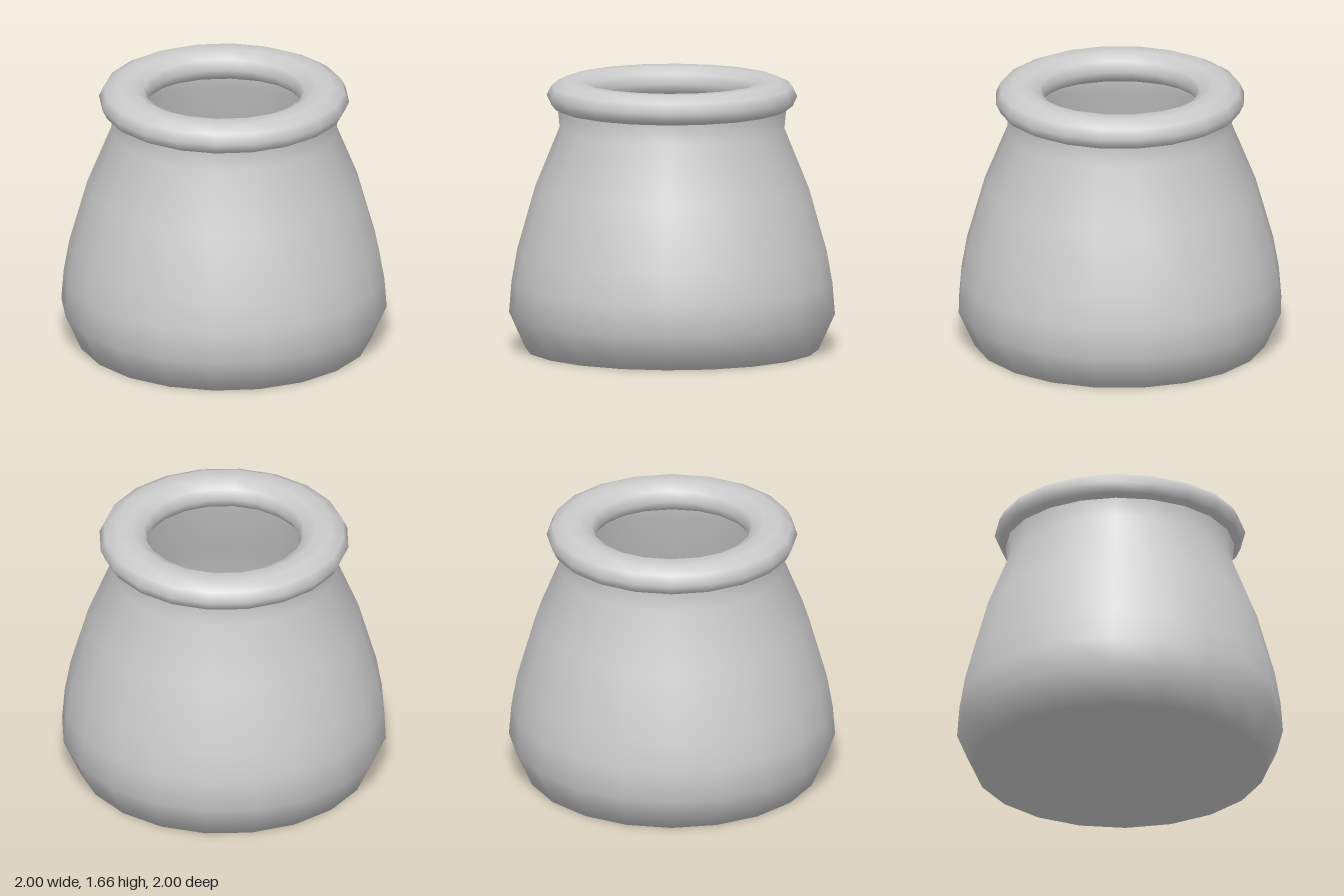
import * as THREE from 'three';
import { mergeVertices } from 'three/addons/utils/BufferGeometryUtils.js';

const SIDES = 20;

// Turned shape with the seam welded and normals averaged over every face
function turned(name, points, material) {
  const lathe = new THREE.LatheGeometry(points, SIDES);
  lathe.deleteAttribute('normal');
  lathe.deleteAttribute('uv');
  const geometry = mergeVertices(lathe, 1e-4);
  geometry.computeVertexNormals();
  const mesh = new THREE.Mesh(geometry, material);
  mesh.name = name;
  return mesh;
}

export function createModel() {
  const group = new THREE.Group();
  group.name = 'pot';
  const material = new THREE.MeshStandardMaterial({ color: 0xcccccc, side: THREE.DoubleSide });

  // Thin-walled hollow body: flat base, wide belly, narrow neck
  const profile = [
    [0, 0], [0.9, 0], [1, 0.22], [0.985, 0.41], [0.95, 0.61],
    [0.84, 1.0], [0.69, 1.37], [0.705, 1.53],
  ].map(([r, y]) => new THREE.Vector2(r, y));
  group.add(turned('body', profile, material));

  // Rounded rim: a ten-sided oval section swept around the mouth
  const section = [];
  for (let i = 0; i <= 10; i++) {
    const a = (i / 10) * Math.PI * 2;
    section.push(new THREE.Vector2(0.617 + 0.152 * Math.cos(a), 1.567 + 0.1025 * Math.sin(a)));
  }
  group.add(turned('rim', section, material));

  return group;
}
